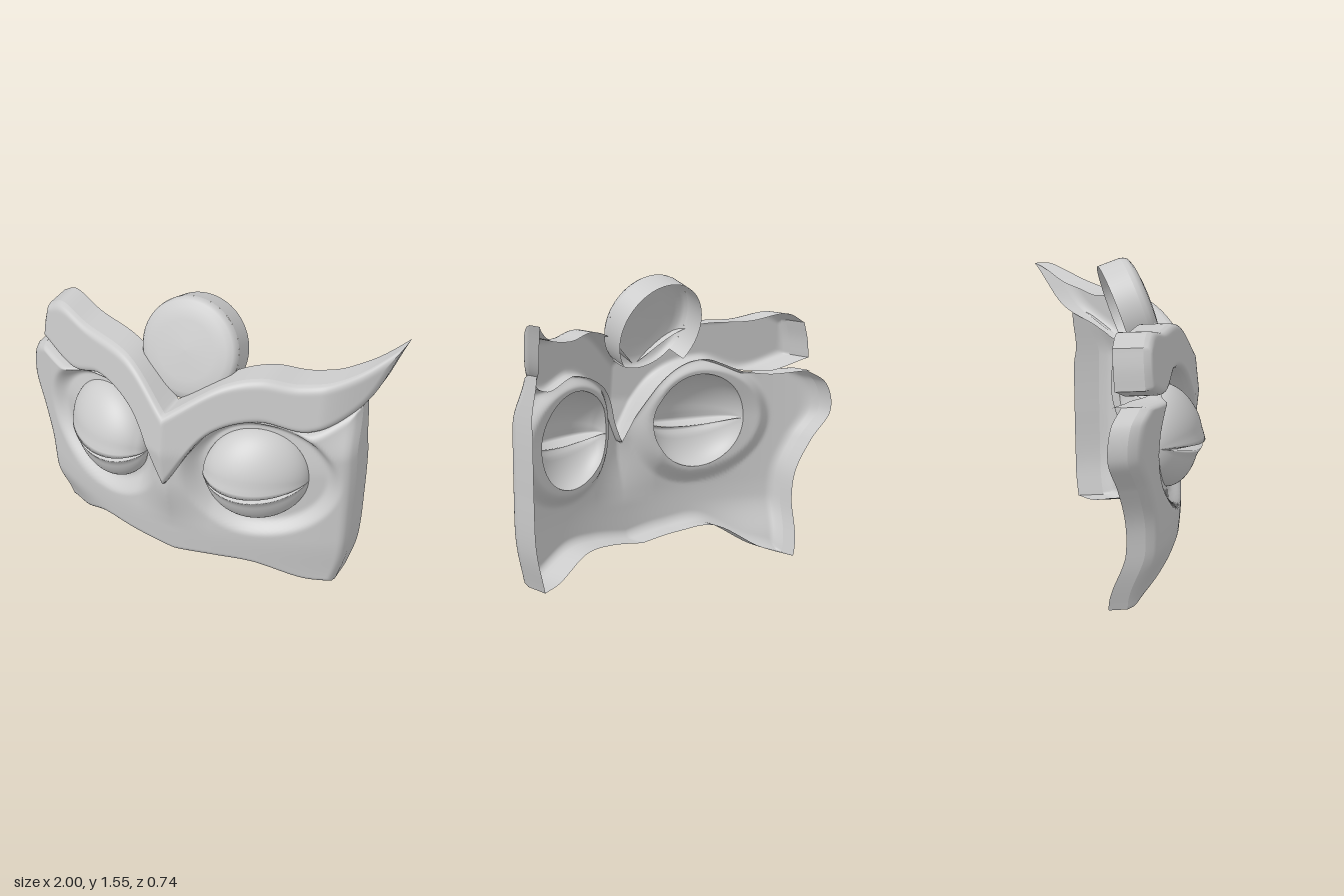
import * as THREE from 'three';

const material = new THREE.MeshStandardMaterial({ color: 0xcccccc, side: THREE.DoubleSide });
const MID = 0.03;                       // centre line of the face
const EYE_R = 0.25, EYE_Y = 0.745;
const EYES = [-0.38, 0.44];
const FACE_ROUND = 0.05;
// Lower edge of the brow, shared with the top of the face
const BROW_EDGE = [[-0.87, 1.07], [-0.62, 1.0], [-0.4, 1.07], [-0.18, 0.99], [MID, 0.66],
  [0.24, 0.99], [0.45, 1.07], [0.68, 1.03], [0.88, 1.15], [1.0, 1.41]];
const smooth = (x, a, b) => THREE.MathUtils.smoothstep(x, a, b);
const lerp = THREE.MathUtils.lerp;

// Smooth curve with a sharp corner at the centre line, where it has one
function curve(points) {
  const p = points.map(([x, y]) => new THREE.Vector3(x, y, 0));
  const k = p.findIndex((q) => q.x === MID);
  if (k < 0) return new THREE.CatmullRomCurve3(p);
  const a = new THREE.CatmullRomCurve3(p.slice(0, k + 1));
  const b = new THREE.CatmullRomCurve3(p.slice(k));
  return { getPoint: (u) => (u < 0.5 ? a.getPoint(2 * u) : b.getPoint(2 * u - 1)) };
}

function geometry(positions, index) {
  const g = new THREE.BufferGeometry();
  g.setAttribute('position', new THREE.Float32BufferAttribute(positions, 3));
  g.setIndex(index);
  g.computeVertexNormals();
  return g;
}

function addMesh(group, name, geo) {
  const mesh = new THREE.Mesh(geo, material);
  mesh.name = name;
  group.add(mesh);
}

// Surface made of rows of points
function sheet(rows) {
  const n = rows[0].length, index = [];
  for (let j = 0; j < rows.length - 1; j++) for (let i = 0; i < n - 1; i++) {
    const a = j * n + i;
    index.push(a, a + 1, a + n, a + 1, a + n + 1, a + n);
  }
  return geometry(rows.flat(2), index);
}

// Shell between four border curves: rounded front plus walls running back
function shell({ name, bottom, top, left, right, nu, nv, height, round, depth, holes = [] }) {
  const group = new THREE.Group();
  group.name = name;
  const [B, T, L, R] = [bottom, top, left, right].map(curve);
  const c = [B.getPoint(0), B.getPoint(1), T.getPoint(0), T.getPoint(1)];
  const pos = [], inside = [], index = [];
  for (let j = 0; j <= nv; j++) for (let i = 0; i <= nu; i++) {
    const s = j / nv, u = i / nu;
    const v = 0.4 * s + 0.6 * (1 - Math.cos(Math.PI * s)) / 2;
    const b = B.getPoint(u), t = T.getPoint(u), l = L.getPoint(v), r = R.getPoint(v);
    const mix = (k) => (1 - v) * b[k] + v * t[k] + (1 - u) * l[k] + u * r[k]
      - (1 - u) * (1 - v) * c[0][k] - u * (1 - v) * c[1][k] - (1 - u) * v * c[2][k] - u * v * c[3][k];
    let x = mix('x'), y = mix('y'), hole = false;
    for (const hx of holes) {
      const d = Math.hypot(x - hx, y - EYE_Y);
      if (d < EYE_R) {
        hole = true;
        x = hx + (x - hx) * EYE_R / Math.max(d, 1e-4);
        y = EYE_Y + (y - EYE_Y) * EYE_R / Math.max(d, 1e-4);
      }
    }
    const edge = Math.min(Math.min(v, 1 - v) * b.distanceTo(t), Math.min(u, 1 - u) * 1.8);
    const k = Math.max(0, round - edge);
    pos.push(x, y, height(x, y) - (round - Math.sqrt(round * round - k * k)));
    inside.push(hole);
  }
  const w = nu + 1;
  const tri = (...t) => { if (!t.every((q) => inside[q])) index.push(...t); };
  for (let j = 0; j < nv; j++) for (let i = 0; i < nu; i++) {
    const a = j * w + i;
    tri(a, a + 1, a + w + 1);
    tri(a, a + w + 1, a + w);
  }
  addMesh(group, name + 'Front', geometry(pos, index));

  // Walls along each border
  const span = (n, f) => Array.from({ length: n + 1 }, (_, i) => f(i));
  const sides = {
    bottom: span(nu, (i) => i), top: span(nu, (i) => nv * w + i),
    left: span(nv, (j) => j * w), right: span(nv, (j) => j * w + nu),
  };
  for (const side in sides) {
    const edge = sides[side].map((q) => pos.slice(q * 3, q * 3 + 3));
    const back = edge.map(([x, y, z]) => [x, y, z - depth(side, x, y, z)]);
    addMesh(group, name + side[0].toUpperCase() + side.slice(1) + 'Wall', sheet([edge, back]));
  }
  return group;
}

// Curved face with sunken eye sockets and a nose ridge
function faceZ(x, y) {
  let z = 0.25 - (x < 0 ? 0.36 : 0.28) * x * x;
  for (const ex of EYES) {
    const out = (x - ex) * Math.sign(ex);
    const d = Math.hypot(out > 0 ? out * 0.82 : out, y - EYE_Y);
    z -= (0.06 + 0.04 * smooth(y, 0.75, 1.05)) * (1 - smooth(d, EYE_R + 0.015, EYE_R + 0.1));
  }
  z += 0.06 * Math.max(0, 1 - Math.abs(x - MID) / 0.2) * smooth(y, 0.32, 0.66);
  z -= 0.09 * smooth(y, 0.9, 1.15) * smooth(x, 0.6, 0.9);
  z -= 0.02 * (1 - smooth(y, 0.1, 0.4));
  return z - 0.09 * (1 - smooth(y, 0, 0.3)) * smooth(-x, 0.3, 0.75);
}

// Raised brow that folds along the beak and sweeps back at its tip
function browZ(x, y) {
  const z = 0.37 - 0.405 * Math.abs(x - MID) - 0.11 * Math.abs(y - 0.87);
  return z - 0.17 * Math.pow(Math.max(0, x - 0.73) / 0.27, 1.5);
}

// Depth of the brow walls: the lower one reaches back to the face
function browDepth(side, x, y, z) {
  if (side !== 'bottom') return 0.14 - 0.06 * smooth(x, 0.8, 1);
  const toFace = Math.max(0.03, z - faceZ(x, y) + FACE_ROUND);
  return lerp(lerp(toFace, 0.14, smooth(-x, 0.6, 0.7)), 0.08, smooth(x, 0.8, 0.92));
}

// Closed eye: two domed lids that meet in a recessed slit
function eye(cx) {
  const group = new THREE.Group();
  group.name = cx > 0 ? 'leftEye' : 'rightEye';
  for (const [name, dir] of [['upperLid', 1], ['lowerLid', -1]]) {
    const rows = [];
    for (let j = -1; j <= 20; j++) {
      const row = [];
      for (let i = 0; i <= 48; i++) {
        const t = -Math.cos(Math.PI * i / 48), arc = Math.sqrt(Math.max(0, 1 - t * t));
        const slit = -0.008 - 0.04 * arc * arc;
        const v = Math.sin(Math.max(j, 0) / 20 * Math.PI / 2);
        const start = slit + (j < 0 ? 0 : dir * 0.015 * arc);
        const dy = start + (dir * EYE_R * arc - start) * v;
        const rr = Math.min(1, Math.hypot(t, dy / EYE_R));
        const dome = (dir > 0 ? 0.165 : 0.155) * Math.sqrt(1 - rr * rr);
        const lip = j < 0 ? -0.07 * arc : 0.018 * arc * Math.max(0, 1 - v * 5);
        const x = cx + t * EYE_R, y = EYE_Y + dy;
        row.push([x, y, faceZ(x, y) + dome + lip]);
      }
      rows.push(row);
    }
    addMesh(group, name, sheet(rows));
  }
  return group;
}

// Tilted round crest: a domed cap with an open-backed rim
function crest() {
  const group = new THREE.Group();
  group.name = 'crest';
  const lathe = (pts, start, sweep) => new THREE.LatheGeometry(
    pts.map(([x, y]) => new THREE.Vector2(x, y)), 64, start, sweep);
  addMesh(group, 'crestCap', lathe(
    [[0.256, -0.045], [0.252, -0.025], [0.24, -0.008], [0.21, 0.005], [0.15, 0.015], [0, 0.02]], 0, Math.PI * 2));
  addMesh(group, 'crestRim', lathe([[0.256, -0.16], [0.256, -0.045]], 0.85, Math.PI * 2 - 1.7));
  group.rotation.x = Math.PI / 2 - 0.34;
  group.position.set(MID + 0.005, 1.323, 0.09);
  return group;
}

export function createModel() {
  const model = new THREE.Group();
  model.name = 'mask';
  model.add(shell({
    name: 'face', nu: 140, nv: 90, height: faceZ, round: FACE_ROUND, holes: EYES,
    bottom: [[-0.765, 0.005], [-0.62, 0.06], [-0.42, 0.185], [-0.2, 0.18], [MID, 0.155],
      [0.25, 0.185], [0.45, 0.19], [0.7, 0.115], [0.835, 0.105]],
    top: [[-0.88, 1.0], [-0.63, 0.99], ...BROW_EDGE.slice(2, 9)],
    left: [[-0.765, 0.005], [-0.81, 0.2], [-0.84, 0.45], [-0.91, 0.62], [-0.995, 0.78], [-0.97, 0.93], [-0.88, 1.0]],
    right: [[0.835, 0.105], [0.885, 0.3], [0.9, 0.6], [0.9, 0.9], [0.88, 1.15]],
    depth: (side, x, y) => (side === 'top' ? 0.13 * smooth(-x, 0.58, 0.7)
      : 0.09 + 0.05 * smooth(x, 0.2, 0.8) - 0.07 * smooth(y, 0.85, 1.15) * smooth(x, 0, 0.8)),
  }));
  model.add(shell({
    name: 'brow', nu: 140, nv: 26, height: browZ, round: 0.04,
    bottom: BROW_EDGE,
    top: [[-0.83, 1.26], [-0.74, 1.31], [-0.55, 1.28], [-0.23, 1.26], [MID, 1.08],
      [0.29, 1.26], [0.45, 1.3], [0.62, 1.28], [0.84, 1.32], [1.0, 1.41]],
    left: [[-0.87, 1.07], [-0.855, 1.17], [-0.83, 1.26]],
    right: [[1.0, 1.41], [1.0, 1.41]],
    depth: browDepth,
  }));
  for (const x of EYES) model.add(eye(x));
  model.add(crest());
  return model;
}
